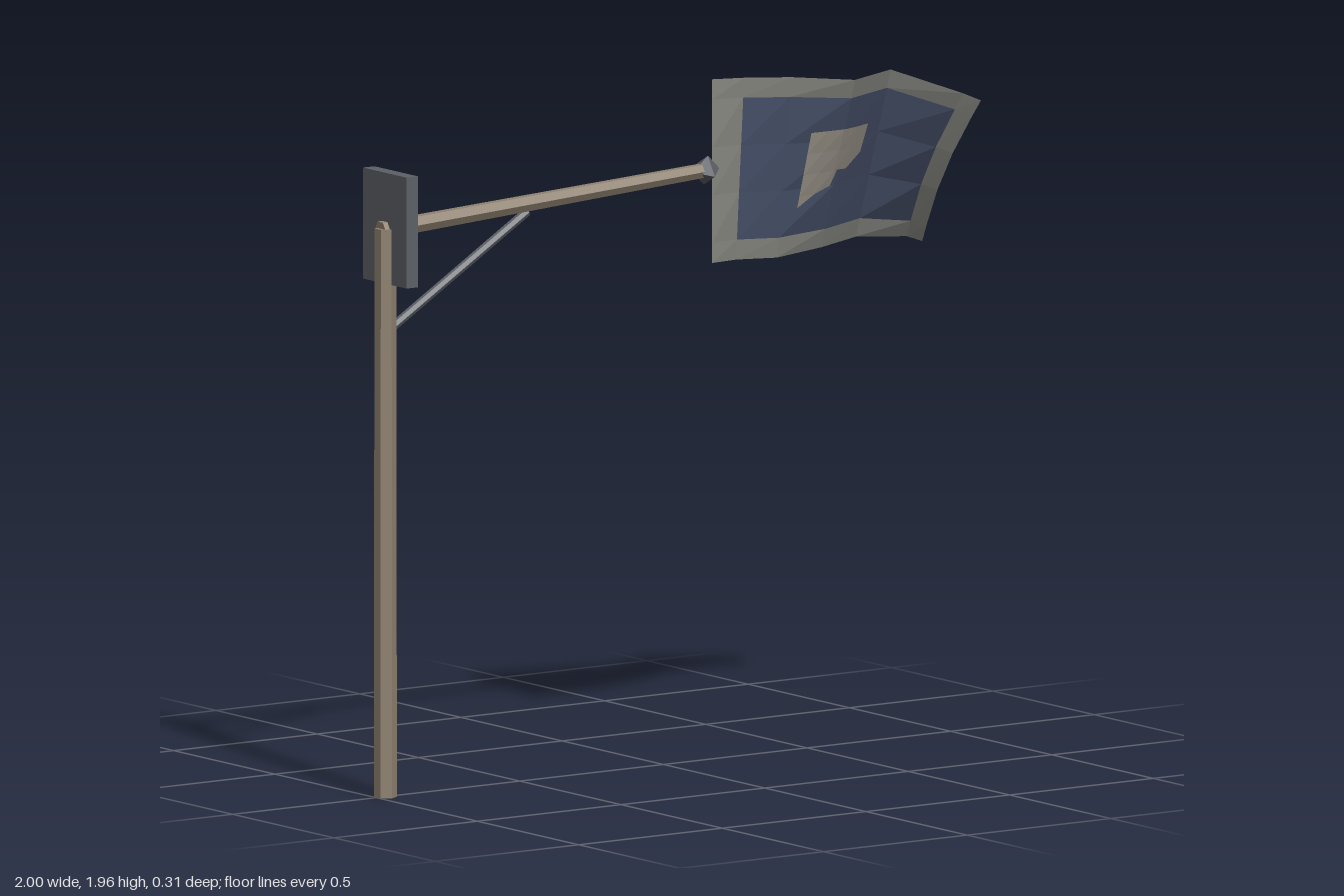
import * as THREE from 'three';

const mat = (color, side = THREE.FrontSide) =>
  new THREE.MeshStandardMaterial({ color, flatShading: true, side });

const WOOD = 0x8f8270, METAL = 0x5c6066;

// Cloth columns: [x, top y, top z, bottom y, bottom z]
const COLS = [
  [0.17, 1.96, 0.0, 1.43, 0.0],
  [0.26, 1.96, 0.03, 1.43, -0.01],
  [0.41, 1.95, 0.05, 1.42, -0.02],
  [0.6, 1.93, 0.095, 1.425, -0.07],
  [0.77, 1.935, 0.03, 1.43, -0.14],
  [0.96, 1.86, 0.12, 1.41, -0.16],
  [1.0, 1.84, 0.15, 1.395, -0.14],
];
const ROWS = [0, 0.11, 0.37, 0.63, 0.89, 1];

// Point on one column, v = 0 at the top and 1 at the bottom
function columnPoint([x, yt, zt, yb, zb], v) {
  const pull = x > 0.9 ? 0.025 * Math.sin(Math.PI * v) : 0;
  return new THREE.Vector3(x - pull, yt + (yb - yt) * v, zt + (zb - zt) * v);
}

// Cloth depth at any x, y
function clothZ(x, y) {
  let i = 0;
  while (i < COLS.length - 2 && x > COLS[i + 1][0]) i++;
  const t = (x - COLS[i][0]) / (COLS[i + 1][0] - COLS[i][0]);
  const c = COLS[i].map((a, k) => a + (COLS[i + 1][k] - a) * t);
  return columnPoint(c, (c[1] - y) / (c[1] - c[3])).z;
}

// Sheet of flat triangles over a grid of points; keep(i, j) picks the cells
function sheet(name, cols, rows, point, keep, color) {
  const pts = [];
  for (let i = 0; i < cols; i++) {
    for (let j = 0; j < rows; j++) {
      if (!keep(i, j)) continue;
      const a = point(i, j), b = point(i, j + 1);
      const c = point(i + 1, j + 1), d = point(i + 1, j);
      pts.push(a, b, d, b, c, d);
    }
  }
  const g = new THREE.BufferGeometry().setFromPoints(pts);
  g.computeVertexNormals();
  const m = new THREE.Mesh(g, mat(color, THREE.DoubleSide));
  m.name = name;
  return m;
}

// Six-sided rod between two points
function rod(name, from, to, r0, r1, color) {
  const a = new THREE.Vector3(...from), b = new THREE.Vector3(...to);
  const dir = b.clone().sub(a);
  const m = new THREE.Mesh(new THREE.CylinderGeometry(r1, r0, dir.length(), 6), mat(color));
  m.position.copy(a).add(b).multiplyScalar(0.5);
  m.quaternion.setFromUnitVectors(new THREE.Vector3(0, 1, 0), dir.normalize());
  m.name = name;
  return m;
}

export function createModel() {
  const model = new THREE.Group();
  model.name = 'flagPost';

  // Post, arm and diagonal brace
  model.add(rod('post', [-0.97, 0, 0.003], [-0.97, 1.64, 0.003], 0.033, 0.031, WOOD));
  model.add(rod('arm', [-0.985, 1.635, 0], [0.14, 1.7, 0], 0.027, 0.022, WOOD));
  model.add(rod('brace', [-0.955, 1.345, 0], [-0.475, 1.64, 0], 0.013, 0.013, METAL));

  // Mounting plate
  const plate = new THREE.Mesh(new THREE.BoxGeometry(0.04, 0.32, 0.215), mat(METAL));
  plate.position.set(-0.95, 1.64, 0);
  plate.name = 'mountingPlate';
  model.add(plate);

  // Pointed arm tip
  const tip = new THREE.Mesh(new THREE.OctahedronGeometry(0.046), mat(METAL));
  tip.position.set(0.148, 1.7, 0);
  tip.rotation.set(0.3, 0, 0.055);
  tip.name = 'armTip';
  model.add(tip);

  // Cloth: pale border round a dark field
  const flag = new THREE.Group();
  flag.name = 'flag';
  const nc = COLS.length - 1, nr = ROWS.length - 1;
  const isBorder = (i, j) => i === 0 || j === 0 || i === nc - 1 || j === nr - 1;
  const clothPoint = (i, j) => columnPoint(COLS[i], ROWS[j]);
  flag.add(sheet('flagBorder', nc, nr, clothPoint, isBorder, 0x85857f));
  flag.add(sheet('flagField', nc, nr, clothPoint, (i, j) => !isBorder(i, j), 0x465069));

  // Plain patch that passes through the cloth along its diagonal
  const patchPoint = (i, j) => {
    const x = 0.47 + 0.0575 * i, y = 1.785 - 0.064 * j;
    const offset = 0.12 * (y - 1.53 - 0.72 * (x - 0.47));
    return new THREE.Vector3(x, y, clothZ(x, y) + offset);
  };
  flag.add(sheet('flagPatch', 4, 4, patchPoint, () => true, 0xa39d92));
  model.add(flag);

  return model;
}
